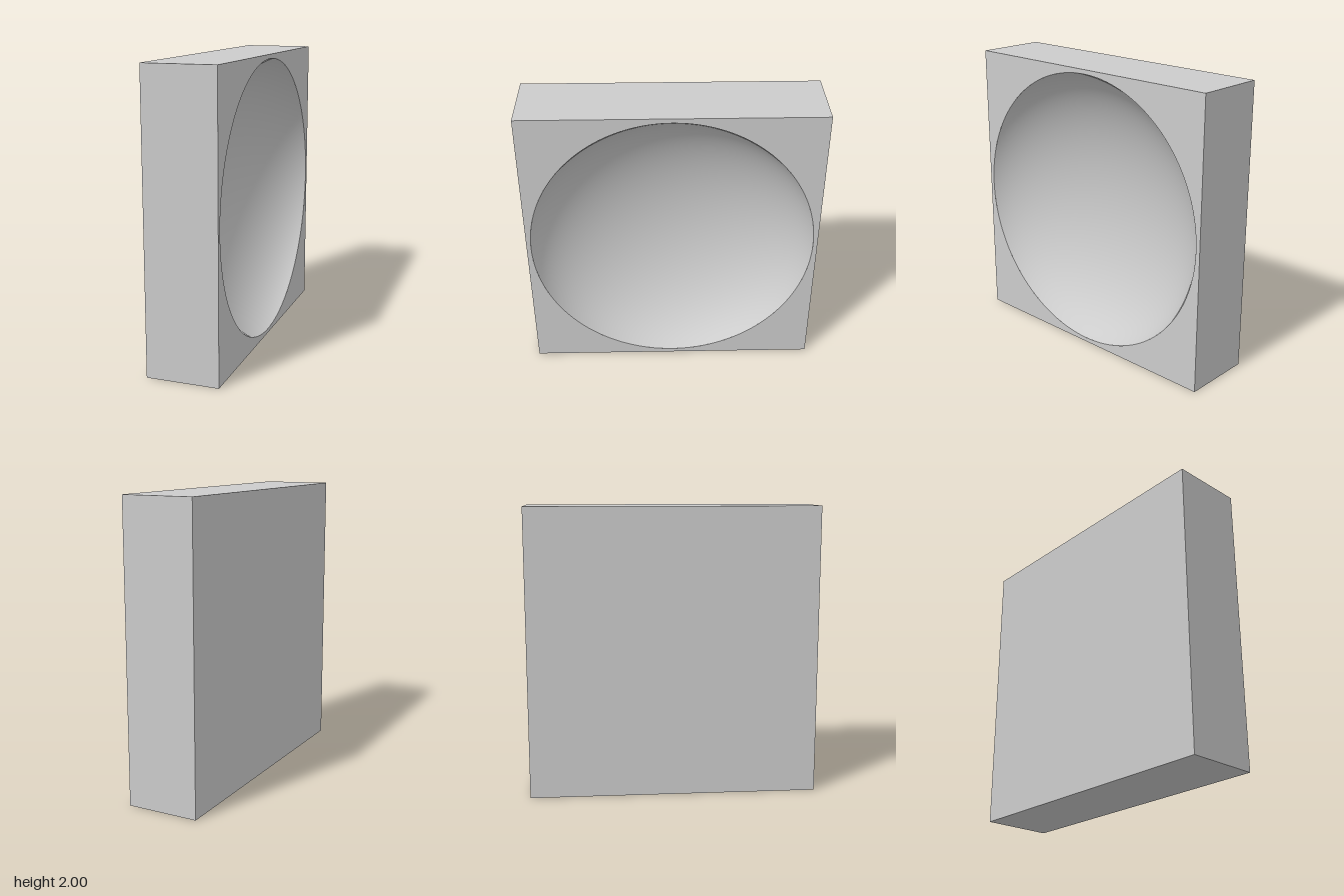
import * as THREE from 'three';

const HALF = 0.247;      // half thickness of the block
const RIM = 0.97;        // radius of the dish at the face
const DEPTH = 0.42;      // depth of the dish
const SEGMENTS = 128;

export function createModel() {
  const group = new THREE.Group();
  const material = new THREE.MeshStandardMaterial({ color: 0xcccccc, side: THREE.DoubleSide });

  function add(name, geometry) {
    const mesh = new THREE.Mesh(geometry, material);
    mesh.name = name;
    mesh.position.y = 1;
    group.add(mesh);
    return mesh;
  }

  // Block: five sides of a box, its first side (+x) left open
  const box = new THREE.BoxGeometry(HALF * 2, 2, 2);
  box.setIndex(Array.from(box.index.array).slice(6));
  box.clearGroups();
  add('block', box);

  // Face on the +x side, with a round opening
  const square = new THREE.Shape([[-1, -1], [1, -1], [1, 1], [-1, 1]].map(([x, y]) => new THREE.Vector2(x, y)));
  square.holes.push(new THREE.Path().absarc(0, 0, RIM, 0, Math.PI * 2, true));
  const face = new THREE.ShapeGeometry(square, SEGMENTS);
  face.rotateY(Math.PI / 2);
  face.translate(HALF, 0, 0);
  add('dishedFace', face);

  // Dish: the lower part of a flattened sphere, turned to open toward +x
  const end = Math.asin(RIM);
  const squash = DEPTH / (1 - Math.cos(end));
  const profile = [];
  for (let i = 0; i <= 48; i++) {
    const a = (i / 48) * end;
    // the squashed arc runs from the dish floor to the rim
    profile.push(new THREE.Vector2(Math.sin(a), (1 - Math.cos(a)) * squash - DEPTH));
  }
  const dish = new THREE.LatheGeometry(profile, SEGMENTS);
  dish.rotateZ(-Math.PI / 2);
  dish.translate(HALF, 0, 0);
  add('dish', dish);

  return group;
}
